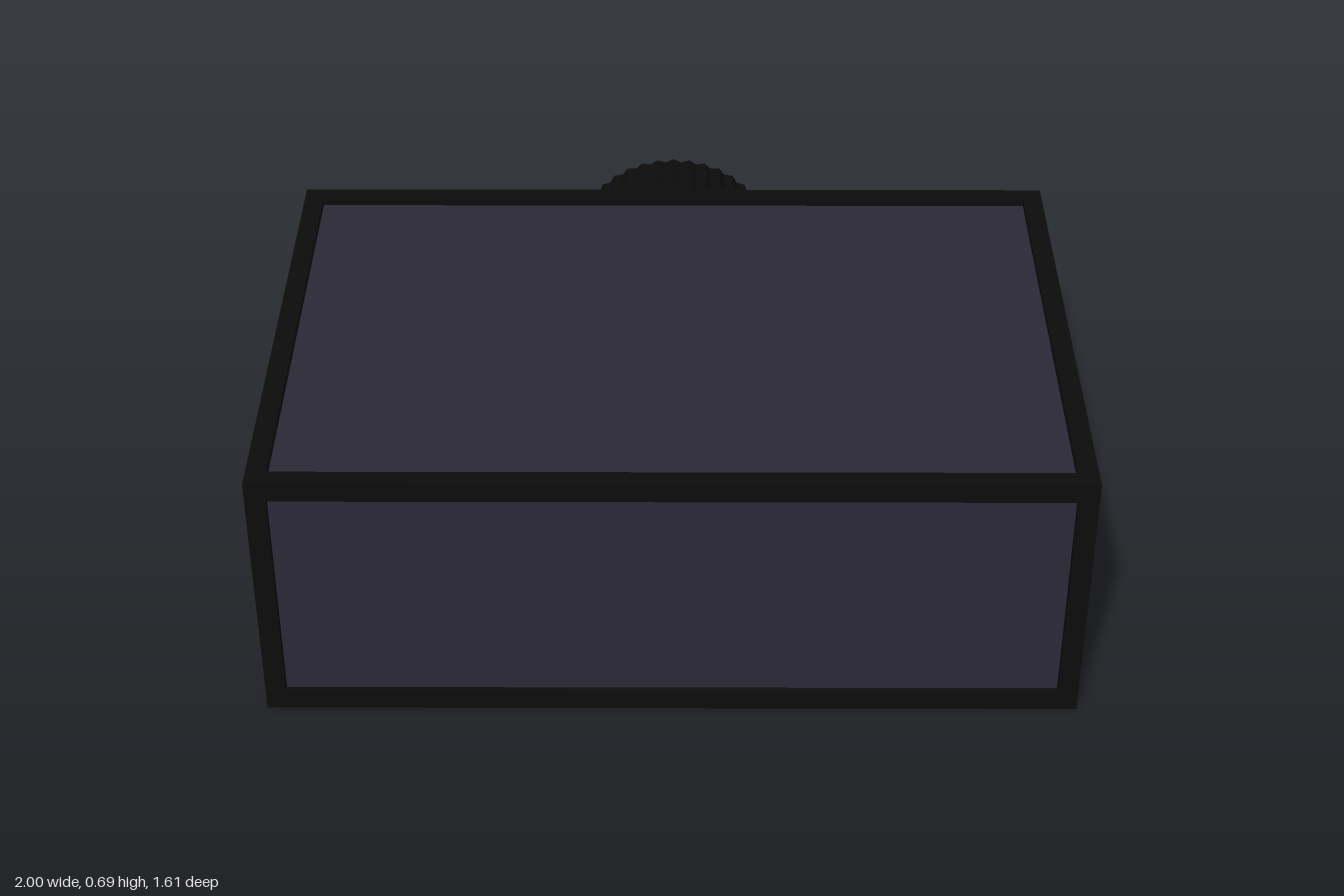
import * as THREE from 'three';

const W = 2, H = 0.69, BACK = -0.54, FRONT = 0.8, BAR = 0.05, RECESS = 0.02;
const D = FRONT - BACK, MID_Z = (FRONT + BACK) / 2;

const panelMat = new THREE.MeshStandardMaterial({ color: 0x2b2937 });
const frameMat = new THREE.MeshStandardMaterial({ color: 0x0c0c0c });
const ribMat = new THREE.MeshStandardMaterial({ color: 0x0c0c0c, flatShading: true });

function add(parent, name, geometry, material, x = 0, y = 0, z = 0) {
  const mesh = new THREE.Mesh(geometry, material);
  mesh.name = name;
  mesh.position.set(x, y, z);
  parent.add(mesh);
  return mesh;
}

// Twelve square bars along the edges of the case
function makeFrame() {
  const frame = new THREE.Group();
  frame.name = 'edgeFrame';
  const x = (W - BAR) / 2, y = (H - BAR) / 2, z = (D - BAR) / 2;
  for (const a of [-1, 1]) for (const b of [-1, 1]) {
    add(frame, 'widthBar', new THREE.BoxGeometry(W, BAR, BAR), frameMat, 0, a * y, b * z);
    add(frame, 'uprightBar', new THREE.BoxGeometry(BAR, H - 2 * BAR, BAR), frameMat, a * x, 0, b * z);
    add(frame, 'depthBar', new THREE.BoxGeometry(BAR, BAR, D - 2 * BAR), frameMat, a * x, b * y, 0);
  }
  frame.position.set(0, H / 2, MID_Z);
  return frame;
}

// Ribbed round knob, built along +y and then turned to point backwards
function makeKnob() {
  const knob = new THREE.Group();
  knob.name = 'knob';
  const length = 0.265, rBase = 0.295, rEnd = 0.285, rFace = 0.235, ribs = 40;

  // Grip: every second vertex is pulled in to form the ribs
  const grip = new THREE.CylinderGeometry(rEnd, rBase, length, ribs * 2, 1, true);
  const p = grip.attributes.position;
  for (let i = 0; i < p.count; i++) {
    const column = i % (ribs * 2 + 1);
    if (column % 2) {
      const r = Math.hypot(p.getX(i), p.getZ(i)), k = (r - 0.01) / r;
      p.setXYZ(i, p.getX(i) * k, p.getY(i), p.getZ(i) * k);
    }
  }
  add(knob, 'ribbedGrip', grip, ribMat, 0, length / 2, 0);

  // Rim around the end and its inner wall
  const rim = add(knob, 'rim', new THREE.RingGeometry(rFace, rEnd, 80), frameMat, 0, length, 0);
  rim.rotation.x = -Math.PI / 2;
  const wallMat = frameMat.clone();
  wallMat.side = THREE.DoubleSide;
  add(knob, 'rimWall', new THREE.CylinderGeometry(rFace, rFace, RECESS, 64, 1, true), wallMat,
    0, length - RECESS / 2, 0);

  // Slightly sunk end disc
  const face = add(knob, 'endDisc', new THREE.CircleGeometry(rFace, 64), panelMat, 0, length - RECESS, 0);
  face.rotation.x = -Math.PI / 2;

  knob.rotation.x = -Math.PI / 2;
  knob.position.set(0, 0.348, BACK);
  return knob;
}

export function createModel() {
  const model = new THREE.Group();
  model.name = 'case';
  // The six panels form one box sunk behind the frame
  add(model, 'panels', new THREE.BoxGeometry(W - 2 * RECESS, H - 2 * RECESS, D - 2 * RECESS),
    panelMat, 0, H / 2, MID_Z);
  model.add(makeFrame(), makeKnob());
  return model;
}
